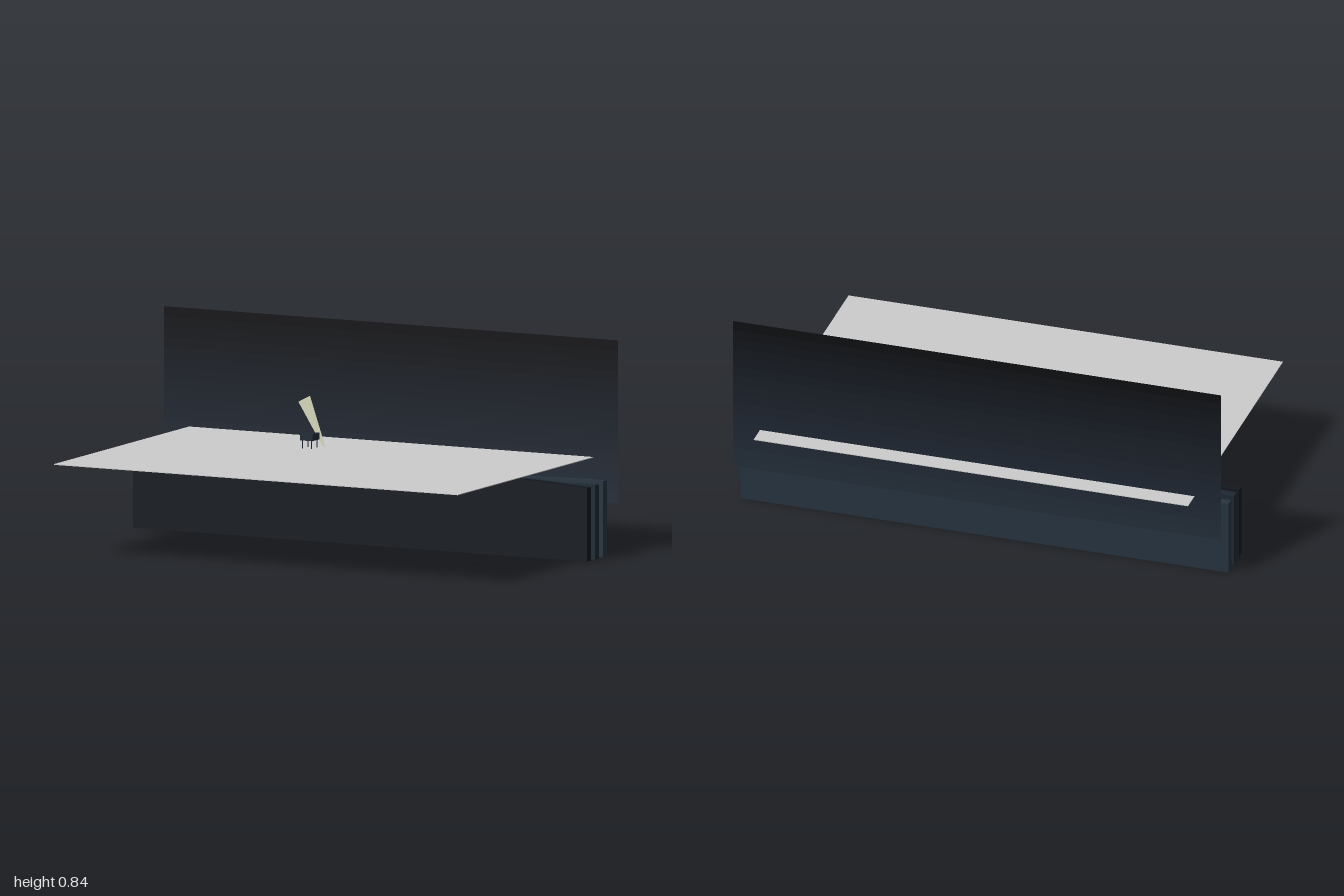
import * as THREE from 'three';

const mat = (color, flatShading = false) =>
  new THREE.MeshStandardMaterial({ color, flatShading, side: THREE.DoubleSide });

function add(group, name, geometry, material, x = 0, y = 0, z = 0) {
  const mesh = new THREE.Mesh(geometry, material);
  mesh.name = name;
  mesh.position.set(x, y, z);
  group.add(mesh);
  return mesh;
}

// Rolling ridge height along x, different for each layer
const ridge = (x, base, phase) =>
  base + 0.007 * Math.sin(x * 4.6 + 5.2 + phase) + 0.003 * Math.sin(x * 9.7 + 1 + phase * 2);

// Slab with a wavy top edge
function hillGeometry(base, phase) {
  const shape = new THREE.Shape();
  shape.moveTo(-1, 0);
  for (let i = 0; i <= 60; i++) {
    const x = -1 + i / 30;
    shape.lineTo(x, ridge(x, base, phase));
  }
  shape.lineTo(1, 0);
  return new THREE.ExtrudeGeometry(shape, { depth: 0.034, bevelEnabled: false });
}

export function createModel() {
  const model = new THREE.Group();
  model.name = 'nightLandscape';

  // Sky: horizontal bands fading from black to dark blue
  const sky = new THREE.Group();
  sky.name = 'sky';
  model.add(sky);
  const bands = 16, bottom = 0.195, bandH = (0.84 - bottom) / bands;
  const low = new THREE.Color(0x222b38), high = new THREE.Color(0x0d0e11);
  for (let i = 0; i < bands; i++) {
    const color = low.clone().lerp(high, i / (bands - 1));
    add(sky, 'skyBand', new THREE.PlaneGeometry(2, bandH), mat(color),
      0, bottom + (i + 0.5) * bandH, -0.534);
  }

  // Thin mist sheet
  add(model, 'mistSheet', new THREE.BoxGeometry(1.78, 0.003, 1.225), mat(0xcccccc), 0, 0.371, -0.002);

  // Three hill layers, darkest in front
  [
    ['frontHills', 0.296, 0, -0.305, 0x12171d],
    ['middleHills', 0.299, 1.1, -0.371, 0x1d2832],
    ['backHills', 0.303, 2.4, -0.438, 0x25323e],
  ].forEach(([name, base, phase, z, color]) =>
    add(model, name, hillGeometry(base, phase), mat(color, true), 0, 0, z));

  // Small conifers along the middle ridge
  const trees = new THREE.Group();
  trees.name = 'trees';
  model.add(trees);
  const treeMat = mat(0x10161c, true);
  [-0.55, -0.5, -0.46, -0.39, -0.35, -0.23, -0.2, -0.17, -0.03, 0, 0.02, 0.06, 0.12,
    0.21, 0.24, 0.28, 0.42, 0.46, 0.5, 0.56, 0.585].forEach((x, i) => {
    const h = 0.026 + 0.013 * ((i * 7) % 5) / 4;
    add(trees, 'tree', new THREE.ConeGeometry(0.009, h, 5), treeMat, x, 0.29 + h / 2, -0.345);
  });

  // Small dark shrubs just under the mist
  const shrubs = new THREE.Group();
  shrubs.name = 'shrubs';
  model.add(shrubs);
  [-0.35, -0.315, -0.3, -0.23, -0.14, 0.115, 0.13, 0.15, 0.215, 0.225, 0.29, 0.3].forEach((x, i) => {
    const shrub = add(shrubs, 'shrub', new THREE.IcosahedronGeometry(0.011, 0), mat(0x12181f, true),
      x, 0.362, -0.105 - 0.11 * ((i * 5) % 12) / 11);
    shrub.scale.set(0.8, 0.55, 1);
    shrub.rotation.y = i;
  });

  // Watchtower: cabin on four thin legs
  const tower = new THREE.Group();
  tower.name = 'watchtower';
  tower.position.set(-0.203, 0, -0.235);
  model.add(tower);
  const towerMat = mat(0x1e2833, true);
  add(tower, 'cabin', new THREE.BoxGeometry(0.054, 0.026, 0.06), towerMat, 0, 0.418, 0);
  for (const sx of [-1, 1]) for (const sz of [-1, 1])
    add(tower, 'leg', new THREE.BoxGeometry(0.003, 0.122, 0.003), towerMat, sx * 0.02, 0.345, sz * 0.023);

  // Searchlight beam: one upright triangle
  const beam = new THREE.BufferGeometry();
  beam.setAttribute('position', new THREE.Float32BufferAttribute(
    [-0.143, 0.335, -0.278, -0.257, 0.562, -0.341, -0.329, 0.528, -0.381], 3));
  beam.computeVertexNormals();
  add(model, 'lightBeam', beam, mat(0xd6dabb));

  return model;
}
